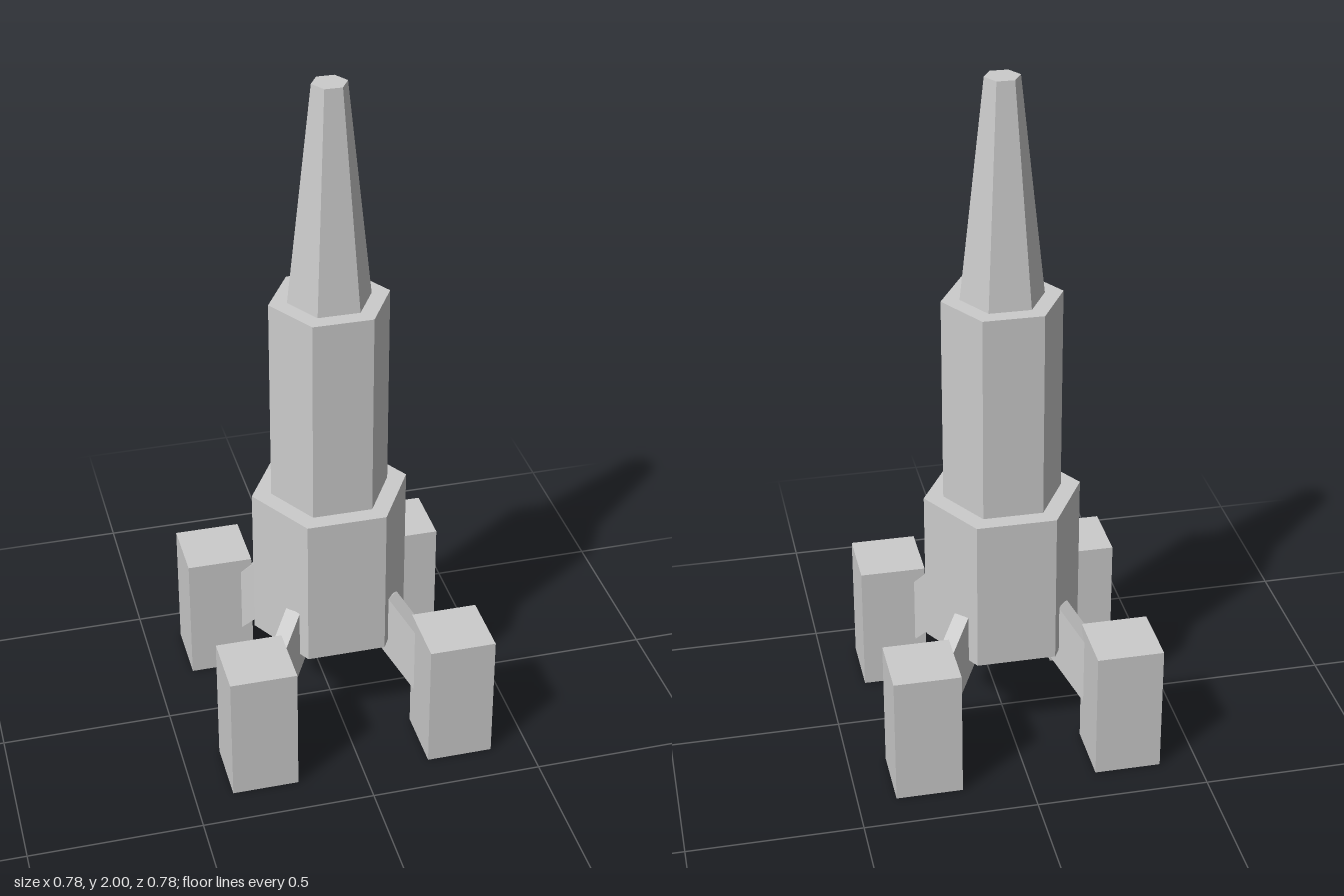
import * as THREE from 'three';

const material = new THREE.MeshStandardMaterial({ color: 0xcccccc, flatShading: true });

function addMesh(parent, name, geometry) {
  const mesh = new THREE.Mesh(geometry, material);
  mesh.name = name;
  parent.add(mesh);
  return mesh;
}

// Six-sided section with corners pointing along x
function hexSection(parent, name, topRadius, bottomRadius, y0, y1) {
  const geometry = new THREE.CylinderGeometry(topRadius, bottomRadius, y1 - y0, 6);
  geometry.rotateY(Math.PI / 2);
  geometry.translate(-0.002, (y0 + y1) / 2, 0);
  return addMesh(parent, name, geometry);
}

export function createModel() {
  const model = new THREE.Group();
  model.name = 'rocket';

  // Stacked hull
  hexSection(model, 'lowerHull', 0.23, 0.23, 0.29, 0.75);
  hexSection(model, 'upperHull', 0.173, 0.173, 0.75, 1.365);
  hexSection(model, 'noseCone', 0.05, 0.12, 1.365, 2);

  // Four landing legs on the diagonals: a sloping strut and a square pod
  for (let i = 0; i < 4; i++) {
    const leg = new THREE.Group();
    leg.name = 'landingLeg' + (i + 1);
    leg.rotation.y = Math.PI / 4 + (i * Math.PI) / 2;
    model.add(leg);

    const strut = addMesh(leg, 'strut', new THREE.BoxGeometry(0.34, 0.146, 0.047));
    strut.position.set(0.28, 0.264, 0);
    strut.rotation.z = -Math.PI / 4;

    const pod = addMesh(leg, 'pod', new THREE.BoxGeometry(0.193, 0.39, 0.193));
    pod.position.set(0.2925 * Math.SQRT2, 0.195, 0);
    pod.rotation.y = Math.PI / 4;
  }
  return model;
}
